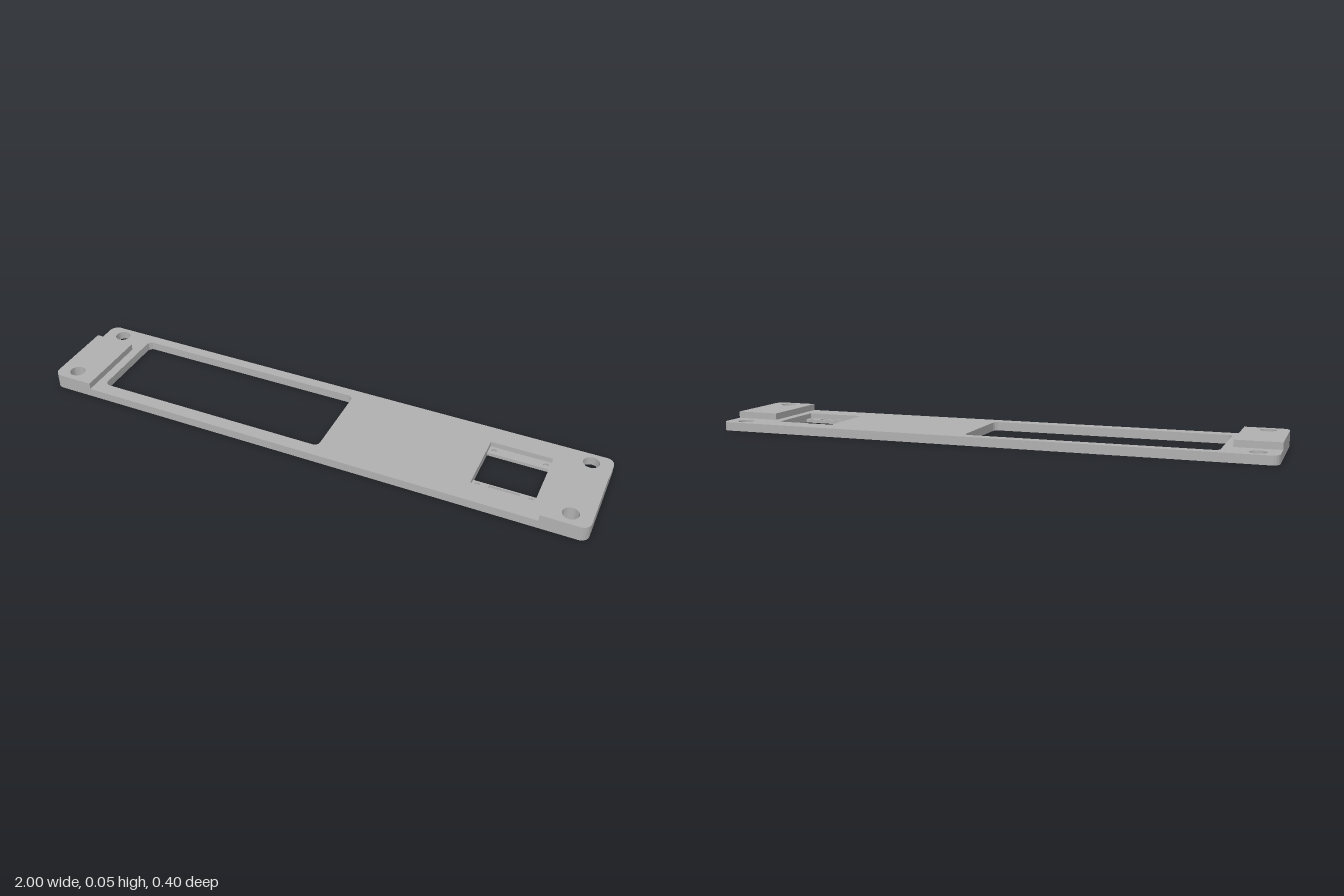
import * as THREE from 'three';
import { mergeGeometries, toCreasedNormals } from 'three/addons/utils/BufferGeometryUtils.js';

// Heights of the floors and top faces
const BLIND = 0.004, LEDGE = 0.012, TOP = 0.031, BLOCK = 0.055;

// Closed outline from [x, z, cornerRadius] points
function outline(points, Type = THREE.Shape) {
  const shape = new Type();
  const v = points.map(([x, z]) => new THREE.Vector2(x, -z));
  const n = v.length;
  points.forEach(([, , r = 0], i) => {
    const p = v[i];
    const toward = (q, d) => p.clone().add(q.clone().sub(p).setLength(d));
    const prev = v[(i + n - 1) % n], next = v[(i + 1) % n];
    const a = r ? toward(prev, r) : p;
    if (i === 0) shape.moveTo(a.x, a.y); else shape.lineTo(a.x, a.y);
    if (r) {
      const b = toward(next, r), c = toward(prev, r * 0.448), d = toward(next, r * 0.448);
      shape.bezierCurveTo(c.x, c.y, d.x, d.y, b.x, b.y);
    }
  });
  shape.closePath();
  return shape;
}
const rect = (x0, z0, x1, z1, r = 0, Type = THREE.Shape) =>
  outline([[x0, z1, r], [x1, z1, r], [x1, z0, r], [x0, z0, r]], Type);
const rectHole = (x0, z0, x1, z1, r) => rect(x0, z0, x1, z1, r, THREE.Path);
const circle = (x, z, r, Type = THREE.Path) => new Type().absarc(x, -z, r, 0, Math.PI * 2, false);
const withHoles = (shape, holes) => {
  const s = shape.clone();
  s.holes = holes;
  return s;
};

// Side walls only, between two heights
function walls(shape, y0, y1) {
  const g = new THREE.ExtrudeGeometry(shape, { depth: y1 - y0, bevelEnabled: false, curveSegments: 12 });
  const { start, count } = g.groups[1];
  const out = new THREE.BufferGeometry();
  const pos = g.attributes.position.array.slice(start * 3, (start + count) * 3);
  out.setAttribute('position', new THREE.BufferAttribute(pos, 3));
  out.rotateX(-Math.PI / 2).translate(0, y0, 0);
  return toCreasedNormals(out, 0.6);
}

// Flat face at one height, facing up or down
function face(shape, y, down = false) {
  const g = new THREE.ShapeGeometry(shape, 12).toNonIndexed();
  g.deleteAttribute('uv');
  if (down) {
    const p = g.attributes.position;
    for (let i = 0; i < p.count; i += 3) {
      const x = p.getX(i), y1 = p.getY(i);
      p.setXY(i, p.getX(i + 1), p.getY(i + 1));
      p.setXY(i + 1, x, y1);
    }
  }
  g.rotateX(-Math.PI / 2).translate(0, y, 0);
  g.computeVertexNormals();
  return g;
}

export function createModel() {
  const group = new THREE.Group();
  const grey = new THREE.MeshStandardMaterial({ color: 0xb0b0b0 });
  grey.name = 'grey';
  const add = (name, ...geos) => {
    const mesh = new THREE.Mesh(mergeGeometries(geos), grey);
    mesh.name = name;
    group.add(mesh);
  };

  const R = 0.03, X = 1, Z = 0.198, BACK = -0.086, LEFT = 0.84, RIGHT = -0.845;
  const plate = rect(-X, -Z, X, Z, R);
  const displayWindow = rectHole(-0.813, -0.16, 0.053, 0.149, 0.02);
  const rearHoles = [-0.93, 0.928].map(x => circle(x, -0.152, 0.028));
  const frontHoles = [-0.93, 0.928].map(x => circle(x, 0.149, 0.028));
  const through = [displayWindow, ...rearHoles, ...frontHoles];

  // Sensor opening with a ledge at front and back
  const P0 = 0.588, P1 = 0.806, W0 = -0.08, W1 = 0.075, Z0 = -0.118, Z1 = 0.112;
  const sensorWindow = rectHole(P0, W0, P1, W1);
  const pocket = rectHole(P0, Z0, P1, Z1);
  const pins = (z, Type) => [0.606, 0.788].map(x => circle(x, z, 0.009, Type));
  const slot = [0.645, 0.08, 0.75, 0.106];
  const ledgeHoles = [...pins(-0.099), ...pins(0.092), rectHole(...slot)];

  // Plate walls in three levels, with underside
  add('plateSides',
    walls(withHoles(plate, [...through, sensorWindow]), 0, BLIND),
    walls(withHoles(plate, [...through, sensorWindow, ...ledgeHoles]), BLIND, LEDGE),
    walls(withHoles(plate, [...through, pocket]), LEDGE, TOP));
  add('underside', face(withHoles(plate, [...through, sensorWindow]), 0, true));

  // Top face, notched around the raised end blocks
  const topShape = outline([
    [RIGHT, Z], [LEFT, Z], [LEFT, BACK], [X, BACK], [X, -Z, R],
    [-X, -Z, R], [-X, BACK], [RIGHT, BACK]]);
  add('topFace', face(withHoles(topShape, [displayWindow, pocket, ...rearHoles]), TOP));

  // Sensor ledges with blind screw holes and connector slot
  add('sensorLedges',
    face(withHoles(rect(P0, Z0, P1, W0), pins(-0.099)), LEDGE),
    face(withHoles(rect(P0, W1, P1, Z1), [...pins(0.092), rectHole(...slot)]), LEDGE));
  add('blindHoleFloors',
    ...[...pins(-0.099, THREE.Shape), ...pins(0.092, THREE.Shape), rect(...slot)].map(s => face(s, BLIND)));

  // Raised mounting blocks at both ends
  const blocks = {
    rightBlock: [outline([[-X, Z, R], [RIGHT, Z], [RIGHT, BACK], [-X, BACK]]), frontHoles[0]],
    leftBlock: [outline([[LEFT, Z], [X, Z, R], [X, BACK], [LEFT, BACK]]), frontHoles[1]],
  };
  for (const [name, [shape, hole]] of Object.entries(blocks)) {
    const s = withHoles(shape, [hole]);
    add(name, walls(s, TOP, BLOCK), face(s, BLOCK));
  }
  return group;
}
